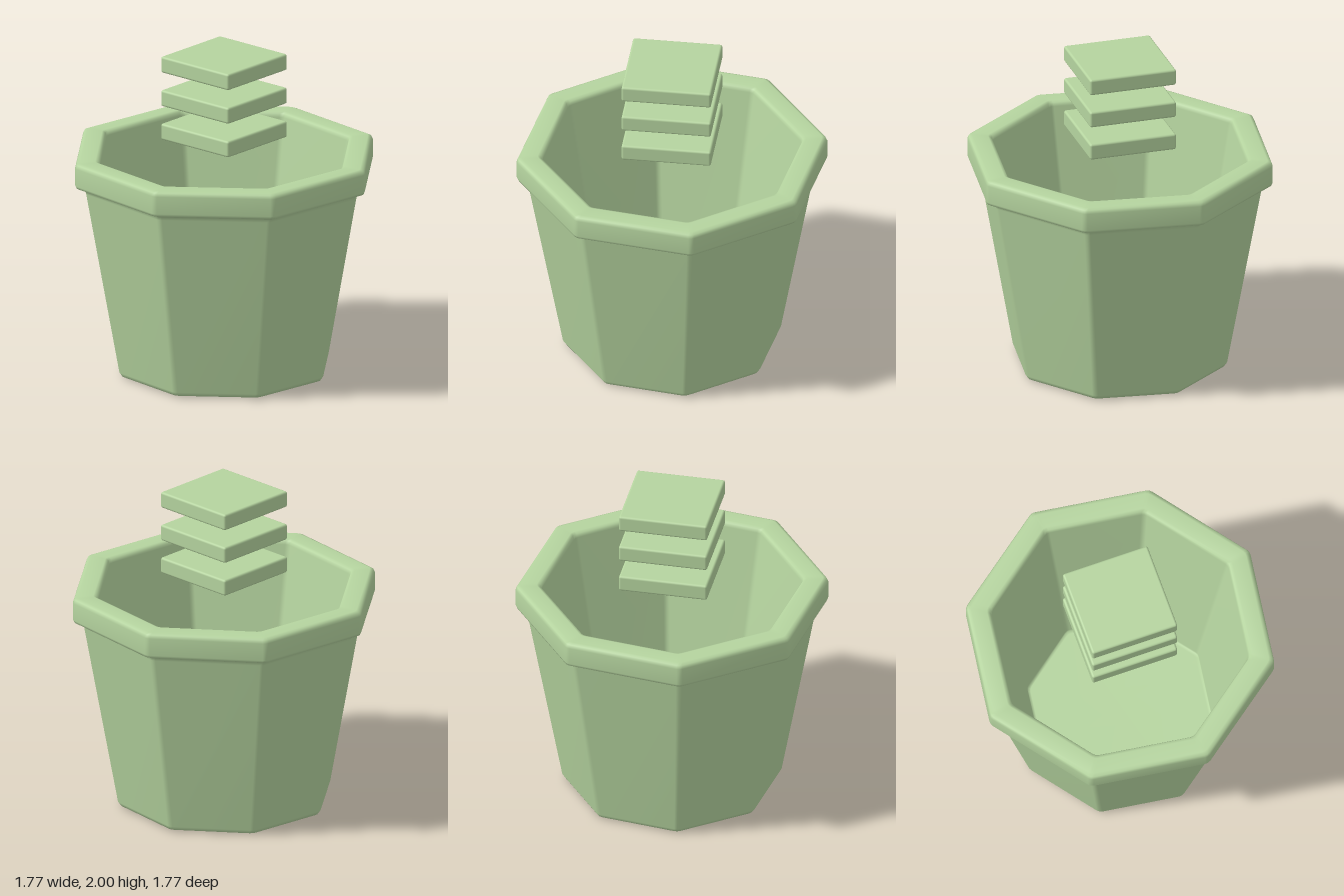
import * as THREE from 'three';
import { RoundedBoxGeometry } from 'three/addons/geometries/RoundedBoxGeometry.js';

const SIDES = 8;
const TAN = Math.tan(Math.PI / SIDES);

// Octagon outline with softened corners; apothem is the centre-to-face distance
function octagonRing(apothem, y) {
  const points = [];
  const half = apothem * TAN;
  const soft = Math.min(0.02, apothem * 0.1);
  for (let s = 0; s < SIDES; s++) {
    const turn = (s * 2 * Math.PI) / SIDES;
    const sin = Math.sin(turn), cos = Math.cos(turn);
    const put = (u, v) => points.push([u * cos + v * sin, y, v * cos - u * sin]);
    put(-half + soft, apothem);
    put(half - soft, apothem);
    // rounded corner point, on the bisector to the next face
    const r = apothem / Math.cos(Math.PI / SIDES) - soft * 0.2;
    put(r * Math.sin(Math.PI / SIDES), r * Math.cos(Math.PI / SIDES));
  }
  return points;
}

// Joins the rings of a profile into one smooth surface
function loftOctagons(profile) {
  const rings = profile.map(([a, y]) => octagonRing(a, y));
  const n = rings[0].length;
  const index = [];
  for (let i = 0; i < rings.length - 1; i++) {
    for (let j = 0; j < n; j++) {
      const a = i * n + j, b = i * n + ((j + 1) % n);
      index.push(a, b, b + n, a, b + n, a + n);
    }
  }
  const geometry = new THREE.BufferGeometry();
  geometry.setAttribute('position', new THREE.Float32BufferAttribute(rings.flat(2), 3));
  geometry.setIndex(index);
  geometry.computeVertexNormals();
  return geometry;
}

export function createModel() {
  const model = new THREE.Group();
  model.name = 'planter';
  const green = new THREE.MeshStandardMaterial({ color: 0xb5d49f });
  green.name = 'sage green';

  // Pot: base, outer wall, rim, inner wall and floor as one shell
  const pot = new THREE.Mesh(loftOctagons([
    [0, 0], [0.58, 0], [0.607, 0.009], [0.623, 0.035],
    [0.82, 1.2], [0.827, 1.222], [0.845, 1.235],
    [0.862, 1.236], [0.878, 1.243], [0.885, 1.26],
    [0.885, 1.37], [0.876, 1.391], [0.855, 1.4],
    [0.765, 1.4], [0.746, 1.392], [0.736, 1.37],
    [0.534, 0.145], [0.53, 0.13], [0.515, 0.125], [0, 0.125],
  ]), green);
  pot.name = 'pot';
  model.add(pot);

  // Stack of floating square slabs
  const slabGeometry = new RoundedBoxGeometry(0.55, 0.103, 0.55, 2, 0.014);
  for (let i = 0; i < 3; i++) {
    const slab = new THREE.Mesh(slabGeometry, green);
    slab.name = 'slab' + (i + 1);
    slab.position.y = 1.5185 + i * 0.215;
    slab.rotation.y = 0.137;
    model.add(slab);
  }
  return model;
}
